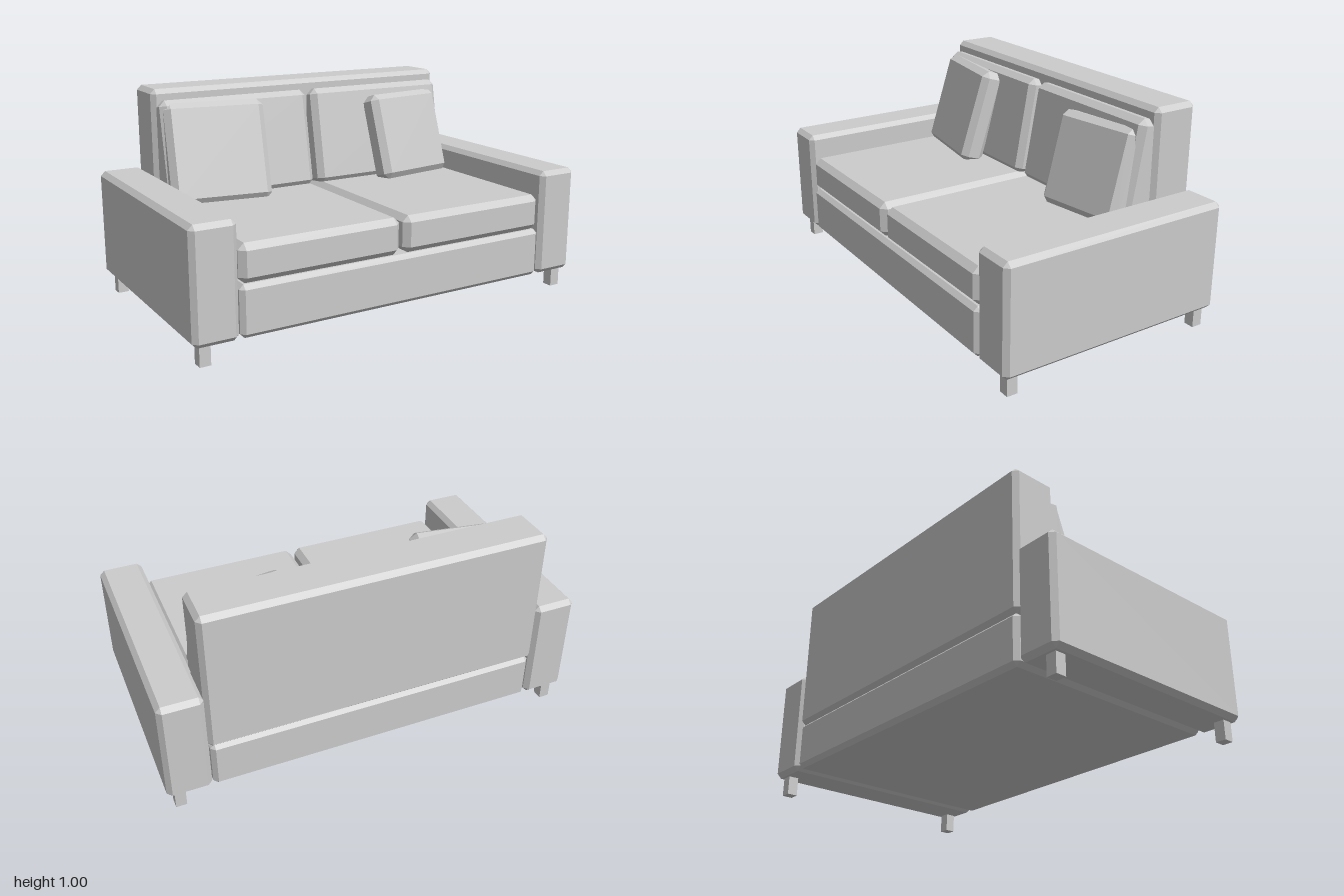
import * as THREE from 'three';
import { ConvexGeometry } from 'three/addons/geometries/ConvexGeometry.js';

const material = new THREE.MeshStandardMaterial({ color: 0xcccccc, flatShading: true });

// Box whose edges and corners are cut by a flat chamfer c
function chamferBox(w, h, d, c) {
  const half = [w / 2, h / 2, d / 2];
  const points = [];
  for (const sx of [-1, 1]) for (const sy of [-1, 1]) for (const sz of [-1, 1]) {
    for (let face = 0; face < 3; face++) {
      const p = half.map((v, axis) => (axis === face ? v : v - c));
      points.push(new THREE.Vector3(sx * p[0], sy * p[1], sz * p[2]));
    }
  }
  return new ConvexGeometry(points);
}

export function createModel() {
  const sofa = new THREE.Group();
  sofa.name = 'sofa';

  const add = (name, geometry, x, y, z, tilt = 0, yaw = 0) => {
    const mesh = new THREE.Mesh(geometry, material);
    mesh.name = name;
    mesh.position.set(x, y, z);
    mesh.rotation.set(tilt, yaw, 0, 'YXZ');
    sofa.add(mesh);
  };

  // Chamfered block given by its limits on each axis
  const block = (name, [x0, x1], [y0, y1], [z0, z1], c) =>
    add(name, chamferBox(x1 - x0, y1 - y0, z1 - z0, c), (x0 + x1) / 2, (y0 + y1) / 2, (z0 + z1) / 2);

  // Frame: base and backrest
  block('base', [-0.79, 0.79], [0.09, 0.32], [-0.56, 0.56], 0.02);
  block('backrest', [-0.8, 0.8], [0.315, 1], [-0.5625, -0.34], 0.022);

  for (const side of [-1, 1]) {
    const label = side > 0 ? 'left' : 'right';
    const span = (a, b) => (side > 0 ? [a, b] : [-b, -a]);

    // Armrest and its two square legs
    block(label + 'Armrest', span(0.795, 1), [0.09, 0.6], [-0.5625, 0.5625], 0.022);
    for (const end of [-1, 1]) {
      add(label + (end > 0 ? 'FrontLeg' : 'BackLeg'),
        new THREE.BoxGeometry(0.05, 0.1, 0.05), side * 0.94, 0.05, end * 0.504);
    }

    // Seat cushion and leaning back cushion
    block(label + 'SeatCushion', span(0.01, 0.787), [0.32, 0.49], [-0.34, 0.557], 0.028);
    add(label + 'BackCushion', chamferBox(0.765, 0.48, 0.15, 0.028), side * 0.397, 0.707, -0.314, -0.18);
  }

  // Throw pillows, leaning back and turned toward the middle
  add('rightPillow', chamferBox(0.48, 0.48, 0.12, 0.03), -0.535, 0.7, -0.222, -0.29, -0.15);
  add('leftPillow', chamferBox(0.44, 0.44, 0.12, 0.03), 0.54, 0.688, -0.219, -0.29, 0.15);

  return sofa;
}
